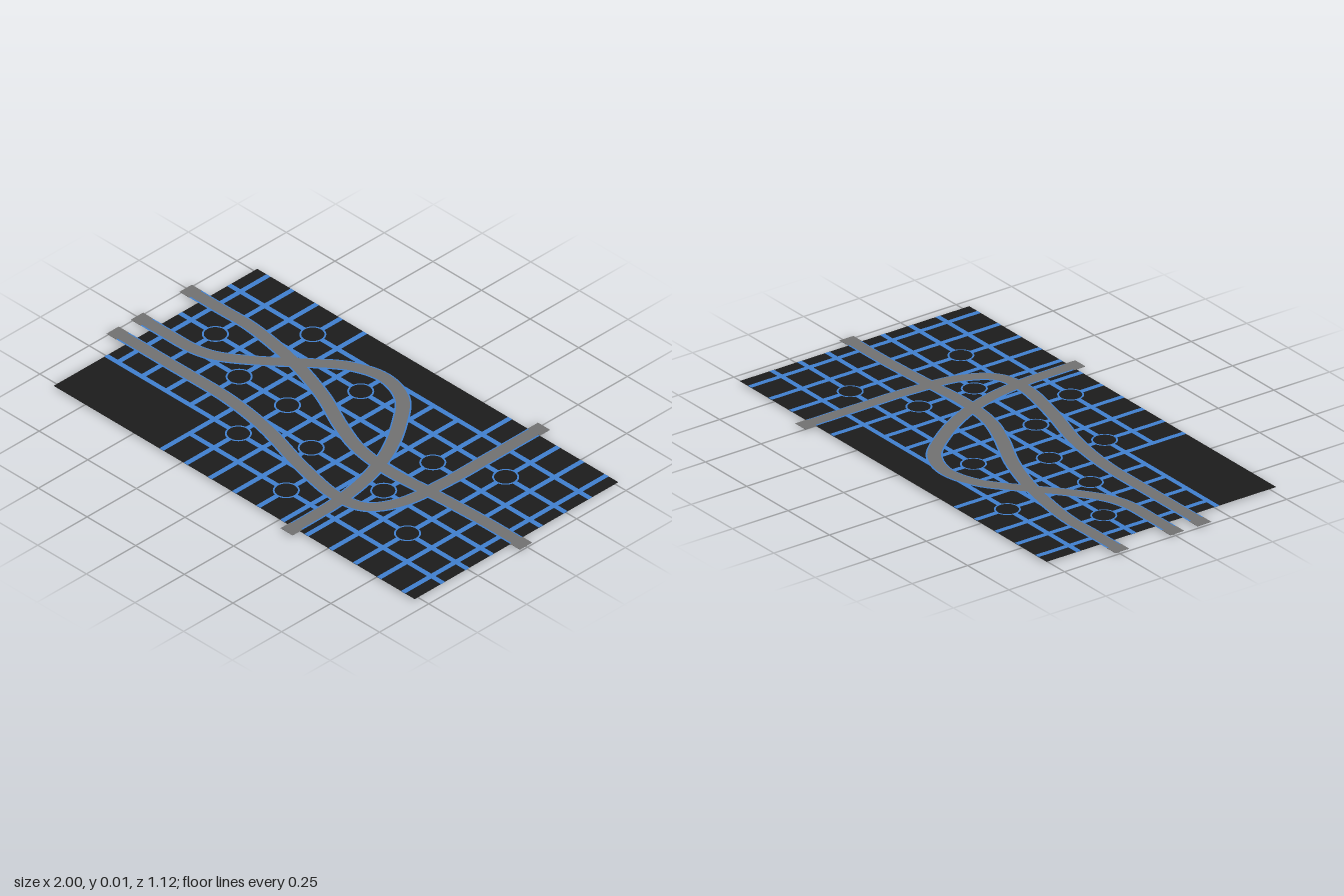
import * as THREE from 'three';

const mat = (color) => new THREE.MeshStandardMaterial({ color, side: THREE.DoubleSide });

// Flat ribbon of constant width following a smooth curve through [x, z] points
function ribbon(points, width, y) {
  const curve = new THREE.CatmullRomCurve3(points.map(([x, z]) => new THREE.Vector3(x, y, z)), false, 'centripetal');
  const n = 120, pos = [], index = [];
  for (let i = 0; i <= n; i++) {
    const p = curve.getPointAt(i / n), t = curve.getTangentAt(i / n);
    const dx = -t.z * width / 2, dz = t.x * width / 2;
    pos.push(p.x - dx, y, p.z - dz, p.x + dx, y, p.z + dz);
    if (i < n) {
      const a = i * 2;
      index.push(a, a + 1, a + 2, a + 1, a + 3, a + 2);
    }
  }
  const g = new THREE.BufferGeometry();
  g.setAttribute('position', new THREE.Float32BufferAttribute(pos, 3));
  // keep every face pointing up
  const e = index.slice(0, 3).map((i) => new THREE.Vector3().fromArray(pos, i * 3));
  if (e[1].sub(e[0]).cross(e[2].sub(e[0])).y < 0) index.reverse();
  g.setIndex(index);
  g.computeVertexNormals();
  return g;
}

export function createModel() {
  const model = new THREE.Group();
  const black = mat(0x1c1c1c), blue = mat(0x4080d0), grey = mat(0x727272);
  const add = (name, geometry, material, parent = model) => {
    const mesh = new THREE.Mesh(geometry, material);
    mesh.name = name;
    parent.add(mesh);
    return mesh;
  };
  const slab = (name, x0, x1, z0, z1, y0, y1, material, parent) =>
    add(name, new THREE.BoxGeometry(x1 - x0, y1 - y0, z1 - z0), material, parent)
      .position.set((x0 + x1) / 2, (y0 + y1) / 2, (z0 + z1) / 2);

  // Ground sheet
  const [left, right, back, front] = [-0.906, 0.95, -0.51, 0.522];
  slab('ground', left, right, back, front, 0.0062, 0.007, black);

  // Street grid: columns along z, rows along x
  const streets = new THREE.Group();
  streets.name = 'streets';
  model.add(streets);
  const colX = (i) => -0.848 + i * 0.1242;
  const rowZ = (j) => -0.367 + j * 0.1245;
  const w = 0.0105;
  for (let i = 0; i < 15; i++) {
    const z0 = i >= 5 && i <= 9 ? rowZ(0) : back;
    const z1 = i <= 3 ? rowZ(5) : front;
    slab('street', colX(i) - w, colX(i) + w, z0, z1, 0.0054, 0.0076, blue, streets);
  }
  for (let j = 0; j < 7; j++) {
    slab('street', j === 6 ? colX(4) : left, right, rowZ(j) - w, rowZ(j) + w, 0.0054, 0.0076, blue, streets);
  }

  // Roundabouts: dark island inside a blue ring, at [column, row]
  const spots = [[3, 0], [6, 1], [12, 1], [1, 2], [10, 2], [3, 3], [5, 3],
    [7, 4], [10, 4], [5, 5], [12, 5], [8, 6]];
  for (const [i, j] of spots) {
    const g = new THREE.Group();
    g.name = 'roundabout';
    g.position.set(colX(i), 0, rowZ(j));
    add('island', new THREE.CylinderGeometry(0.042, 0.042, 0.0082, 32), black, g).position.y = 0.0041;
    const ring = add('ring', new THREE.RingGeometry(0.041, 0.049, 32), blue, g);
    ring.rotation.x = -Math.PI / 2;
    ring.position.y = 0.0079;
    model.add(g);
  }

  // Main roads: grey ribbon over a slightly wider blue edge
  const roads = {
    crossingRoad: [[-1, -0.24], [-0.82, -0.24], [-0.66, -0.24], [-0.4, -0.196], [-0.18, -0.125], [0, -0.04],
      [0.14, 0.012], [0.32, 0.033], [0.56, 0.017], [0.78, 0.007], [1, 0.007]],
    loopRoad: [[-1, 0.007], [-0.85, 0.007], [-0.72, 0.004], [-0.63, -0.02], [-0.5, -0.108], [-0.375, -0.217],
      [-0.235, -0.325], [-0.104, -0.361], [0.03, -0.32], [0.15, -0.185], [0.245, -0.025],
      [0.3, 0.135], [0.326, 0.3], [0.33, 0.42], [0.33, 0.56]],
    bendRoad: [[-1, 0.13], [-0.7, 0.13], [-0.4, 0.132], [-0.18, 0.164], [0.08, 0.238], [0.3, 0.277],
      [0.42, 0.25], [0.49, 0.14], [0.515, -0.07], [0.517, -0.3], [0.517, -0.56]],
  };
  Object.entries(roads).forEach(([name, points], k) => {
    add(name + 'Edge', ribbon(points, 0.062, 0.0083 + k * 0.0001), blue);
    add(name, ribbon(points, 0.05, 0.0092 + k * 0.0002), grey);
    // Solid end caps where the road leaves the ground sheet
    [[points[0], points[1]], [points.at(-1), points.at(-2)]].forEach(([a, b]) => {
      const dx = Math.sign(Math.round((b[0] - a[0]) * 20)), dz = Math.sign(Math.round((b[1] - a[1]) * 20));
      const x1 = a[0] + dx * 0.05, z1 = a[1] + dz * 0.05, h = 0.031;
      const ox = dx ? 0 : h, oz = dz ? 0 : h;
      slab(name + 'End', Math.min(a[0], x1) - ox, Math.max(a[0], x1) + ox,
        Math.min(a[1], z1) - oz, Math.max(a[1], z1) + oz, 0.0077, 0.0088, grey);
    });
  });

  return model;
}
